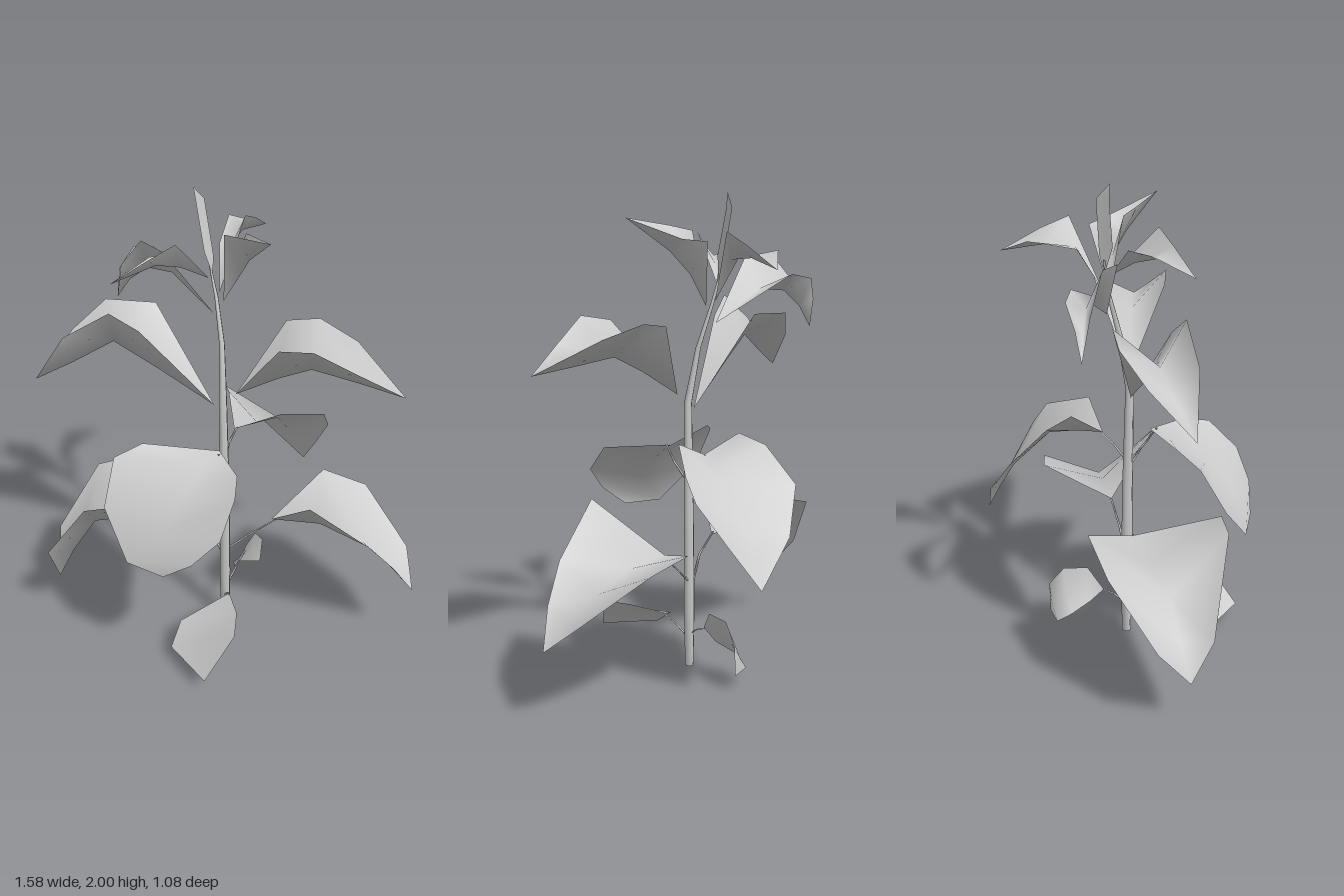
import * as THREE from 'three';

const material = new THREE.MeshStandardMaterial({ color: 0xcccccc, side: THREE.DoubleSide });

function makeMesh(name, positions, index) {
  const geometry = new THREE.BufferGeometry();
  geometry.setAttribute('position', new THREE.Float32BufferAttribute(positions, 3));
  geometry.setIndex(index);
  geometry.computeVertexNormals();
  const mesh = new THREE.Mesh(geometry, material);
  mesh.name = name;
  return mesh;
}

// Folded blade: pointed base, rows of [edge, midrib, edge], pointed tip
function leaf(name, base, rows, tip) {
  const positions = [...base, ...rows.flat(2), ...tip];
  const last = positions.length / 3 - 1;
  const index = [0, 1, 2, 0, 2, 3];
  for (let r = 0; r < rows.length - 1; r++) {
    for (let c = 0; c < 2; c++) {
      const a = 1 + r * 3 + c, b = a + 3;
      index.push(a, b, a + 1, a + 1, b, b + 1);
    }
  }
  index.push(last - 3, last, last - 2, last - 2, last, last - 1);
  return makeMesh(name, positions, index);
}

// Tapered stalk: horizontal rings [x, y, z, radius], capped at both ends
function stalk(name, rings, sides) {
  const positions = [], index = [];
  for (const [x, y, z, r] of rings) {
    for (let i = 0; i < sides; i++) {
      const a = (i / sides) * Math.PI * 2;
      positions.push(x + r * Math.sin(a), y, z + r * Math.cos(a));
    }
  }
  for (let k = 0; k < rings.length - 1; k++) {
    for (let i = 0; i < sides; i++) {
      const a = k * sides + i, b = k * sides + (i + 1) % sides;
      index.push(a, b, a + sides, b, b + sides, a + sides);
    }
  }
  const top = (rings.length - 1) * sides;
  for (let i = 1; i < sides - 1; i++) {
    index.push(0, i + 1, i, top, top + i, top + i + 1);
  }
  return makeMesh(name, positions, index);
}

export function createModel() {
  const plant = new THREE.Group();
  plant.name = 'plant';

  // Main stem, bending right and back near the top
  plant.add(stalk('stem', [
    [-0.03, 0, 0.015, 0.02], [-0.03, 0.25, 0.015, 0.025], [-0.03, 0.7, 0.018, 0.023],
    [-0.035, 1.15, 0.025, 0.018], [-0.043, 1.38, -0.02, 0.012],
    [-0.07, 1.56, -0.07, 0.008], [-0.1, 1.7, -0.095, 0.004],
  ], 6));

  // Thin stalks that carry the lower leaves
  const petioles = [
    [[-0.04, 0.35, 0.01], [-0.1, 0.48, 0.01], [-0.19, 0.56, 0]],
    [[-0.02, 0.38, 0.01], [0.07, 0.46, 0.01], [0.19, 0.55, 0]],
    [[-0.03, 0.82, 0.03], [-0.03, 0.89, 0.09], [-0.04, 0.96, 0.14]],
    [[-0.03, 0.84, 0], [-0.02, 0.9, -0.04], [0.01, 0.95, -0.09]],
    [[-0.03, 0.13, 0.03], [-0.01, 0.18, 0.07], [0, 0.22, 0.13]],
    [[-0.03, 0.15, 0], [-0.01, 0.18, -0.04], [0.01, 0.2, -0.09]],
  ];
  for (const path of petioles) {
    plant.add(stalk('petiole', path.map((p, i) => [...p, 0.007 - 0.001 * i]), 3));
  }

  // Seed leaves at the foot
  plant.add(leaf('frontFootLeaf', [0, 0.22, 0.12], [
    [[-0.2, 0.14, 0.23], [-0.07, 0.19, 0.24], [0.05, 0.245, 0.275]],
    [[-0.23, 0.07, 0.325], [-0.09, 0.15, 0.34], [0.055, 0.235, 0.41]],
  ], [-0.06, 0.07, 0.515]));
  plant.add(leaf('backFootLeaf', [0, 0.2, -0.08], [
    [[0, 0.15, -0.14], [0.03, 0.21, -0.15], [0.05, 0.29, -0.14]],
    [[-0.02, 0.11, -0.23], [0.04, 0.18, -0.24], [0.08, 0.285, -0.24]],
    [[0, 0.07, -0.29], [0.06, 0.13, -0.3], [0.11, 0.2, -0.3]],
  ], [0.1, 0.07, -0.3]));

  // Lower pair of large leaves
  plant.add(leaf('lowerLeftLeaf', [0.17, 0.55, 0], [
    [[0.34, 0.79, 0.24], [0.38, 0.55, 0.01], [0.38, 0.65, -0.26]],
    [[0.58, 0.6, 0.21], [0.57, 0.49, 0.04], [0.57, 0.61, -0.22]],
    [[0.7, 0.46, 0.17], [0.69, 0.4, 0.08], [0.76, 0.43, -0.03]],
  ], [0.79, 0.31, 0.12]));
  plant.add(leaf('lowerRightLeaf', [-0.18, 0.55, 0], [
    [[-0.48, 0.755, 0.275], [-0.4, 0.53, 0.01], [-0.4, 0.7, -0.24]],
    [[-0.58, 0.73, 0.27], [-0.6, 0.5, 0.03], [-0.63, 0.63, -0.22]],
    [[-0.79, 0.4, 0.15], [-0.7, 0.35, 0.05], [-0.79, 0.38, -0.07]],
  ], [-0.77, 0.21, 0.07]));

  // Middle pair, crossing the lower pair
  plant.add(leaf('middleFrontLeaf', [-0.04, 0.96, 0.11], [
    [[-0.35, 0.99, 0.135], [-0.1, 0.93, 0.18], [0.05, 0.95, 0.27]],
    [[-0.46, 0.95, 0.19], [-0.17, 0.84, 0.31], [0.055, 0.93, 0.4]],
    [[-0.49, 0.77, 0.29], [-0.24, 0.74, 0.41], [0.01, 0.81, 0.515]],
    [[-0.38, 0.6, 0.42], [-0.26, 0.65, 0.47], [-0.1, 0.7, 0.535]],
  ], [-0.22, 0.605, 0.5]));
  plant.add(leaf('middleBackLeaf', [0, 0.95, -0.08], [
    [[-0.04, 1.05, -0.22], [0.09, 0.93, -0.17], [0.2, 1.03, -0.09]],
    [[-0.065, 1.01, -0.33], [0.17, 0.9, -0.27], [0.37, 0.95, -0.24]],
    [[-0.05, 0.87, -0.48], [0.21, 0.75, -0.42], [0.39, 0.86, -0.3]],
    [[0.1, 0.7, -0.54], [0.24, 0.64, -0.48], [0.34, 0.7, -0.41]],
  ], [0.28, 0.53, -0.525]));

  // Upper pair, rising from the stem
  plant.add(leaf('upperLeftLeaf', [0.02, 1.19, 0.04], [
    [[0.2, 1.5, 0.24], [0.19, 1.3, 0.09], [0.21, 1.49, -0.04]],
    [[0.33, 1.525, 0.285], [0.32, 1.37, 0.13], [0.34, 1.51, -0.03]],
    [[0.5, 1.43, 0.265], [0.5, 1.35, 0.18], [0.49, 1.46, 0.05]],
  ], [0.68, 1.33, 0.24]));
  plant.add(leaf('upperRightLeaf', [-0.07, 1.12, 0.02], [
    [[-0.35, 1.48, 0.1], [-0.3, 1.28, 0.02], [-0.32, 1.5, -0.12]],
    [[-0.46, 1.56, 0.12], [-0.47, 1.39, 0.02], [-0.53, 1.49, -0.15]],
    [[-0.65, 1.44, 0.11], [-0.63, 1.3, 0.04], [-0.66, 1.38, -0.08]],
  ], [-0.79, 1.22, 0.06]));

  // Crown of young leaves
  plant.add(leaf('crownBackRightLeaf', [-0.08, 1.48, -0.08], [
    [[-0.28, 1.73, -0.09], [-0.26, 1.61, -0.17], [-0.35, 1.67, -0.28]],
    [[-0.38, 1.74, -0.17], [-0.37, 1.6, -0.23], [-0.44, 1.65, -0.32]],
    [[-0.48, 1.6, -0.24], [-0.45, 1.53, -0.26], [-0.5, 1.56, -0.3]],
  ], [-0.51, 1.44, -0.28]));
  plant.add(leaf('crownBackLeaf', [-0.06, 1.57, -0.09], [
    [[-0.07, 1.74, -0.19], [-0.02, 1.74, -0.19], [0.03, 1.85, -0.2]],
    [[-0.055, 1.78, -0.38], [0.01, 1.75, -0.3], [0.06, 1.8, -0.31]],
  ], [0.09, 1.715, -0.46]));
  plant.add(leaf('crownRightLeaf', [-0.1, 1.64, -0.07], [
    [[-0.2, 1.84, 0.09], [-0.2, 1.71, 0], [-0.21, 1.76, -0.03]],
    [[-0.3, 1.785, 0.12], [-0.28, 1.74, 0.06], [-0.31, 1.76, 0.03]],
  ], [-0.44, 1.7, 0.16]));
  plant.add(leaf('crownFrontLeaf', [-0.04, 1.55, -0.06], [
    [[-0.03, 1.85, 0], [0.03, 1.68, -0.03], [0.04, 1.81, -0.12]],
    [[0.03, 1.87, 0.07], [0.07, 1.77, 0.04], [0.1, 1.82, -0.04]],
  ], [0.16, 1.9, 0.19]));
  plant.add(leaf('topShoot', [-0.085, 1.64, -0.09], [
    [[-0.115, 1.75, -0.065], [-0.1, 1.75, -0.09], [-0.085, 1.72, -0.11]],
    [[-0.145, 1.93, -0.085], [-0.13, 1.93, -0.11], [-0.12, 1.94, -0.13]],
  ], [-0.155, 2, -0.085]));

  return plant;
}
